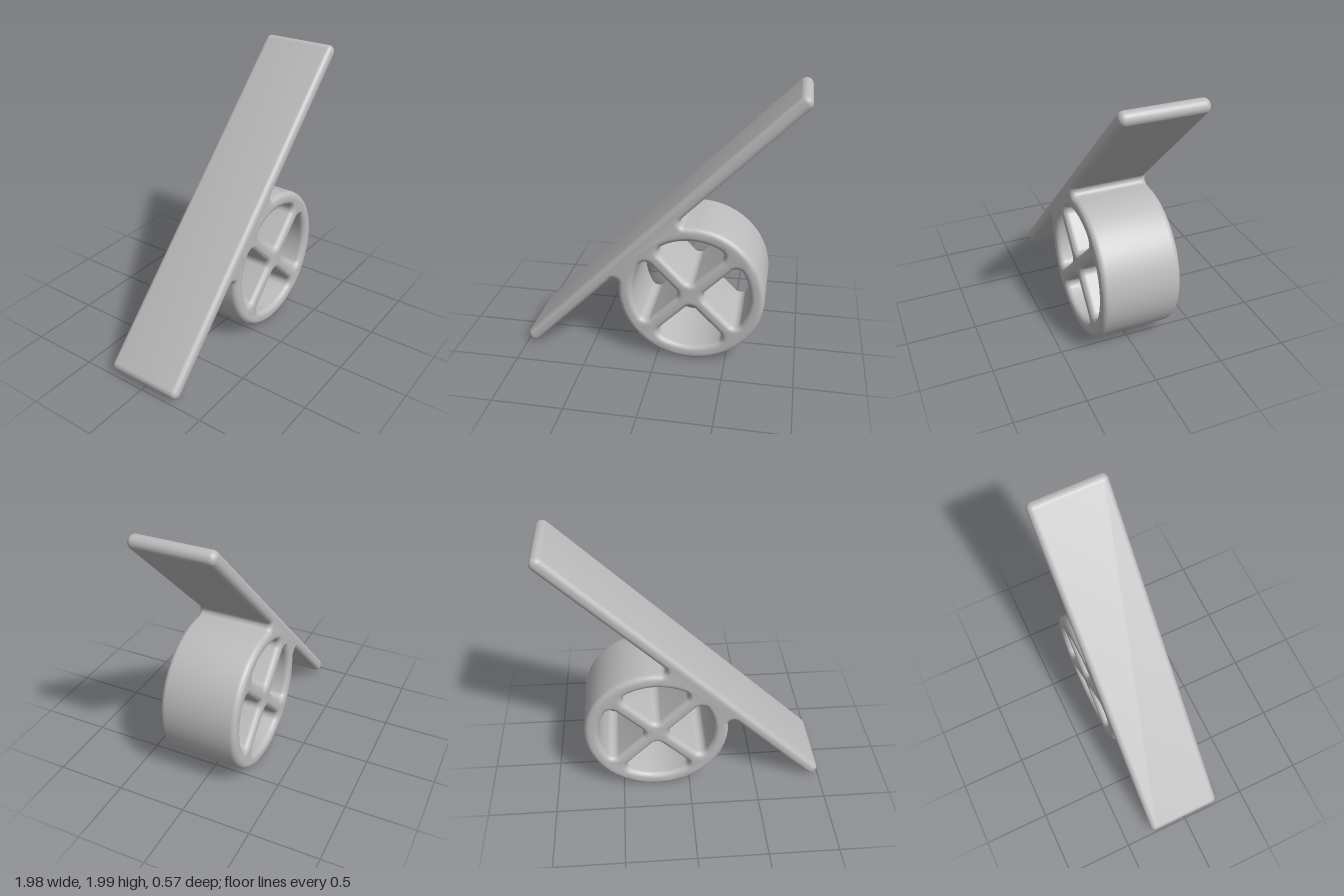
import * as THREE from 'three';
import { toCreasedNormals } from 'three/addons/utils/BufferGeometryUtils.js';

const PI = Math.PI;
const HALF_LENGTH = 1.33, HALF_THICK = 0.048;   // plank
const WHEEL = { x: -0.17, y: -0.509, outer: 0.525, inner: 0.42 };
const FILLET = 0.035, SPOKE_HALF = 0.05, CORNER = 0.05;
const DEPTH = 0.57, BEVEL = 0.04;

// Outline of plank and rim, with the plank lying along x
function outline() {
  const s = new THREE.Shape();
  const fy = -HALF_THICK - FILLET;
  const dy = fy - WHEEL.y;
  const dx = Math.sqrt((WHEEL.outer + FILLET) ** 2 - dy * dy);
  s.absarc(HALF_LENGTH, 0, HALF_THICK, -PI / 2, PI / 2, false);
  s.absarc(-HALF_LENGTH, 0, HALF_THICK, PI / 2, 1.5 * PI, false);
  s.absarc(WHEEL.x - dx, fy, FILLET, PI / 2, Math.atan2(-dy, dx), true);
  s.absarc(WHEEL.x, WHEEL.y, WHEEL.outer, Math.atan2(dy, -dx), Math.atan2(dy, dx) + 2 * PI, false);
  s.absarc(WHEEL.x + dx, fy, FILLET, Math.atan2(-dy, -dx), PI / 2 - 2 * PI, true);
  s.closePath();
  return s;
}

// Rounded opening between two spokes, turned by a quarter step
function opening(turn) {
  const p = new THREE.Path();
  const near = SPOKE_HALF + CORNER;
  const far = Math.sqrt((WHEEL.inner - CORNER) ** 2 - near * near);
  const phi = Math.atan2(near, far);
  const arc = (x, y, r, a, b) => {
    const c = Math.cos(turn), s = Math.sin(turn);
    p.absarc(WHEEL.x + x * c - y * s, WHEEL.y + x * s + y * c, r, a + turn, b + turn, false);
  };
  arc(far, near, CORNER, -PI / 2, phi);
  arc(0, 0, WHEEL.inner, phi, PI / 2 - phi);
  arc(near, far, CORNER, PI / 2 - phi, PI);
  arc(near, near, CORNER, PI, 1.5 * PI);
  p.closePath();
  return p;
}

export function createModel() {
  const group = new THREE.Group();
  group.name = 'plankOnWheel';
  const grey = new THREE.MeshStandardMaterial({ color: 0xbcbcbc });
  grey.name = 'grey';

  // Plank, rim and spokes are one solid with blended joints and rounded edges
  const shape = outline();
  for (let i = 0; i < 4; i++) shape.holes.push(opening(i * PI / 2));
  const geometry = new THREE.ExtrudeGeometry(shape, {
    depth: DEPTH - 2 * BEVEL,
    curveSegments: 20,
    bevelEnabled: true,
    bevelSize: BEVEL,
    bevelOffset: -BEVEL,
    bevelThickness: BEVEL,
    bevelSegments: 6,
  });
  geometry.translate(0, 0, BEVEL - DEPTH / 2);
  geometry.rotateZ(PI / 4);
  geometry.translate(0, 1.01, 0);

  const body = new THREE.Mesh(toCreasedNormals(geometry, 0.8), grey);
  body.name = 'plankAndSpokedWheel';
  group.add(body);
  return group;
}
